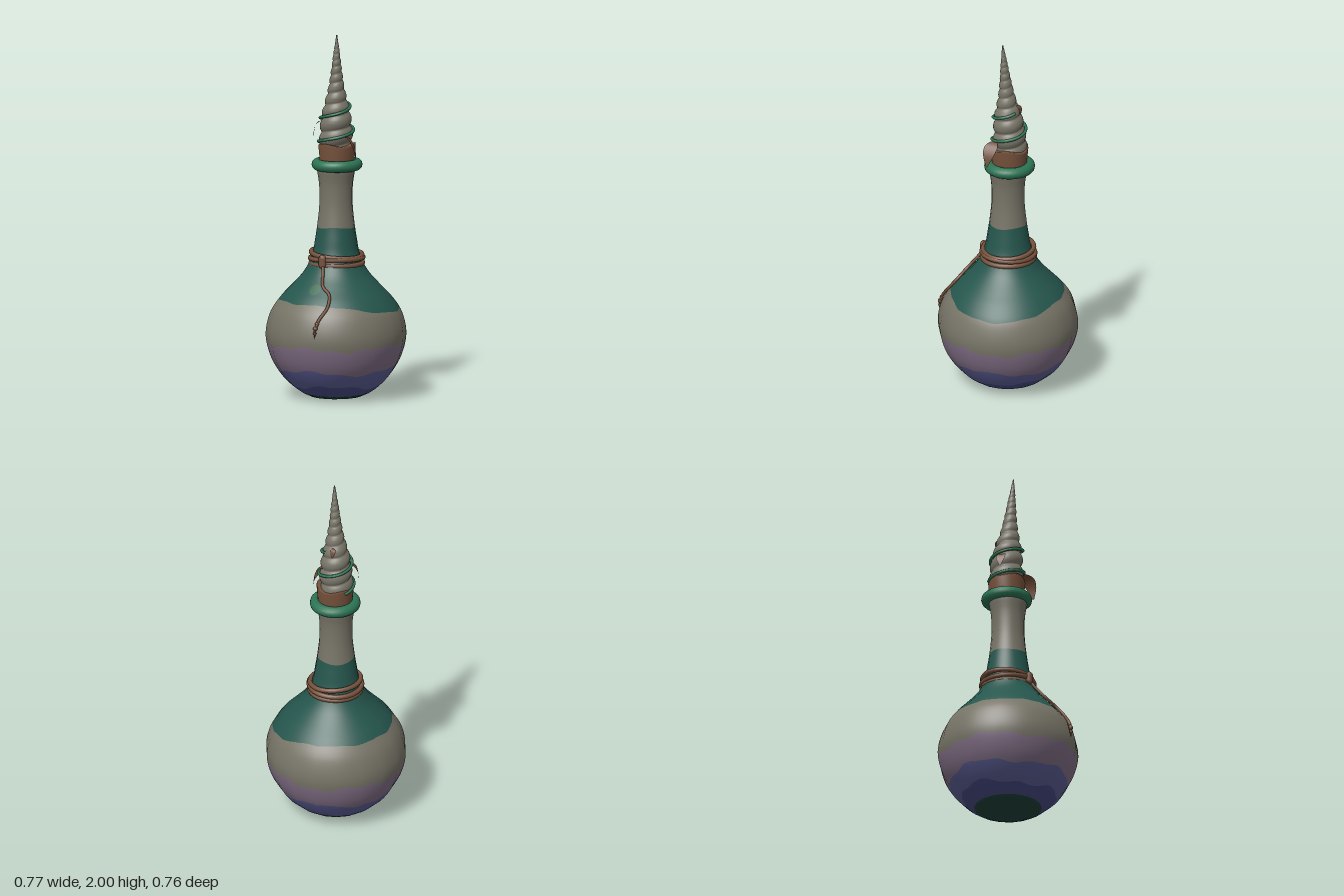
import * as THREE from 'three';
import { mergeVertices } from 'three/addons/utils/BufferGeometryUtils.js';

const mat = (name, color, double) => {
  const m = new THREE.MeshStandardMaterial({ color });
  m.name = name;
  if (double) m.side = THREE.DoubleSide;
  return m;
};

// Surface from a rule: fn(u, v) gives a point, u runs to the right and v runs up
function grid(nu, nv, fn, normalFn) {
  const pos = [], nor = [], idx = [];
  for (let j = 0; j <= nv; j++) for (let i = 0; i <= nu; i++) {
    pos.push(...fn(i / nu, j / nv));
    if (normalFn) nor.push(...normalFn(i / nu, j / nv));
    if (i < nu && j < nv) {
      const a = j * (nu + 1) + i, d = a + nu + 1;
      idx.push(a, a + 1, d, a + 1, d + 1, d);
    }
  }
  let g = new THREE.BufferGeometry();
  g.setAttribute('position', new THREE.Float32BufferAttribute(pos, 3));
  g.setIndex(idx);
  if (normalFn) g.setAttribute('normal', new THREE.Float32BufferAttribute(nor, 3));
  else { g = mergeVertices(g, 1e-5); g.computeVertexNormals(); }
  return g;
}

// Bottle outline as [radius, height]
const outline = new THREE.SplineCurve([
  [0.185, 0.025], [0.235, 0.06], [0.295, 0.12], [0.355, 0.22], [0.384, 0.345], [0.36, 0.465],
  [0.306, 0.55], [0.24, 0.62], [0.185, 0.68], [0.148, 0.74], [0.126, 0.8], [0.114, 0.87],
  [0.102, 0.95], [0.091, 1.06], [0.092, 1.17], [0.104, 1.25], [0.106, 1.29],
].map(([r, y]) => new THREE.Vector2(r, y))).getPoints(240);

function radiusAt(y) {
  let i = 1;
  while (i < outline.length - 1 && outline[i].y < y) i++;
  const a = outline[i - 1], b = outline[i];
  return THREE.MathUtils.clamp(THREE.MathUtils.mapLinear(y, a.y, b.y, a.x, b.x), 0.08, 0.39);
}

const SIDES = 18, STEP = Math.PI * 2 / SIDES, PHASE = 0.118;

// One coloured zone of the 18-sided bottle between two edges that vary with angle
function band(low, high, rows, from = PHASE, to = PHASE + Math.PI * 2, lift = 0, cols = 144) {
  const at = (u, v) => {
    const t = from + (to - from) * u;
    return [t, THREE.MathUtils.lerp(low(t), high(t), v)];
  };
  return grid(cols, rows, (u, v) => {
    const [t, y] = at(u, v);
    const local = ((t - PHASE) % STEP + STEP) % STEP - STEP / 2;
    const r = radiusAt(y) * Math.cos(STEP / 2) / Math.cos(local) + lift;
    return [r * Math.sin(t), y, r * Math.cos(t)];
  }, (u, v) => {
    const [t, y] = at(u, v);
    const slope = (radiusAt(y + 0.012) - radiusAt(y - 0.012)) / 0.024;
    return new THREE.Vector3(Math.sin(t), -slope, Math.cos(t)).normalize().toArray();
  });
}

// Curved leaf tapering at both ends
function leaf(points, width) {
  const path = new THREE.CatmullRomCurve3(points.map(p => new THREE.Vector3(...p)));
  const w = new THREE.Vector3(...width);
  return grid(4, 10, (u, v) => {
    const s = (u - 0.5) * (0.1 + 0.9 * Math.sin(Math.PI * Math.pow(v, 0.85)));
    return path.getPoint(v).addScaledVector(w, s).toArray();
  });
}

const tube = (points, radius, n = 48) => new THREE.TubeGeometry(
  new THREE.CatmullRomCurve3(points.map(p => new THREE.Vector3(...p))), n, radius, 8);

export function createModel() {
  const group = new THREE.Group();
  const glass = mat('grey glass and shell', 0x777467);
  const teal = mat('teal glaze', 0x25564d);
  const purple = mat('purple glaze', 0x7f6d84);
  const blue = mat('blue glaze', 0x5a5c92);
  const indigo = mat('indigo glaze', 0x454880);
  const dark = mat('dark green base', 0x1f4038);
  const green = mat('green rim and vine', 0x2c7454);
  const patchGreen = mat('green patch', 0x33664a);
  const brown = mat('brown cork and rope', 0x76513c);
  const leafBrown = mat('dry leaf', 0x6e4a36, true);

  const add = (name, geometry, material, x = 0, y = 0, z = 0) => {
    const m = new THREE.Mesh(geometry, material);
    m.name = name;
    m.position.set(x, y, z);
    group.add(m);
    return m;
  };

  // Glazed bottle, zone by zone from the base up
  const e0 = () => 0.025;
  const e1 = t => 0.08 + 0.012 * Math.sin(3 * t) + 0.006 * Math.sin(8 * t);
  const e2 = t => 0.17 + 0.012 * Math.sin(4 * t + 1) + 0.005 * Math.sin(11 * t);
  const e3 = t => 0.308 + 0.01 * Math.sin(5 * t + 1) + 0.007 * Math.sin(14 * t);
  const e4 = t => 0.543 - 0.055 * Math.pow(Math.max(0, Math.cos(t - 1.85)), 2) + 0.003 * Math.sin(9 * t);
  const e5 = t => 0.94 + 0.004 * Math.sin(3 * t);
  const e6 = () => 1.285;
  add('bottleBase', new THREE.LatheGeometry(
    [[0, 0], [0.14, 0.005], [0.185, 0.025]].map(p => new THREE.Vector2(...p)), SIDES, PHASE), dark);
  add('bottleLowest', band(e0, e1, 4), indigo);
  add('bottleLower', band(e1, e2, 5), blue);
  add('bottlePurple', band(e2, e3, 6), purple);
  add('bottleBelly', band(e3, e4, 10), glass);
  add('bottleShoulder', band(e4, e5, 18), teal);
  add('bottleNeck', band(e5, e6, 12), glass);

  // Small painted patch on the front shoulder
  const arch = t => Math.sqrt(Math.max(0, 1 - Math.pow((t - 0.1) / 0.14, 2)));
  add('shoulderPatch', band(t => 0.622 - 0.027 * arch(t), t => 0.622 + 0.025 * arch(t),
    4, -0.04, 0.24, 0.004, 12), patchGreen);

  // Rim and cork
  const rim = add('rim', new THREE.TorusGeometry(0.108, 0.031, 12, 36), green, 0, 1.28, -0.01);
  rim.rotation.x = Math.PI / 2;
  add('cork', grid(36, 4, (u, v) => {
    const t = u * Math.PI * 2;
    const r = [0.093, 0.097, 0.102, 0.1, 0][Math.round(v * 4)];
    const y = [1.28, 1.33, 1.385, 1.395, 1.385][Math.round(v * 4)];
    const wave = v > 0.4 && v < 0.9 ? 0.008 * Math.sin(3 * t + 2) : 0;
    return [r * Math.sin(t), y + wave, r * Math.cos(t) - 0.01];
  }), brown);

  // Spiral shell stopper, leaning slightly to its tip
  const shellRadius = new THREE.SplineCurve([
    [1.38, 0.09], [1.44, 0.094], [1.52, 0.086], [1.58, 0.077], [1.65, 0.059], [1.71, 0.045],
    [1.8, 0.031], [1.9, 0.018], [2, 0.003],
  ].map(p => new THREE.Vector2(...p))).getPoints(160);
  const coneRadius = y => shellRadius.find(p => p.x >= y - 1e-6)?.y ?? 0.003;
  const lean = y => [-0.008 + 0.028 * (y - 1.38) / 0.62, -0.012 + 0.034 * (y - 1.38) / 0.62];
  add('spiralShell', grid(32, 150, (u, v) => {
    const y = 1.38 + 0.62 * v, t = u * Math.PI * 2, [cx, cz] = lean(y);
    const turn = Math.log(1 - (y - 1.38) / 0.75) / Math.log(0.88);
    const bump = Math.pow(Math.abs(Math.sin(Math.PI * (turn - u))), 0.7);
    const r = coneRadius(y) * (0.82 + 0.18 * bump);
    return [cx + r * Math.sin(t), y, cz + r * Math.cos(t)];
  }), glass);

  // Vine winding up the shell
  const vine = [];
  for (let i = 0; i <= 40; i++) {
    const k = i / 40, t = -2.2 + k * 11.2, y = 1.38 + 0.235 * k, [cx, cz] = lean(y);
    const r = coneRadius(y) + 0.004;
    vine.push([cx + r * Math.sin(t), y, cz + r * Math.cos(t)]);
  }
  add('vine', tube(vine, 0.0085, 140), green);

  // Dry leaves hanging from the vine
  add('leftLeaf', leaf([[0.078, 1.45, 0.035], [0.115, 1.43, 0.036], [0.145, 1.385, 0.038],
    [0.16, 1.32, 0.04]], [0.028, 0.008, 0.065]), leafBrown);
  add('rightLeaf', leaf([[-0.075, 1.52, 0.035], [-0.098, 1.505, 0.042], [-0.112, 1.47, 0.046],
    [-0.115, 1.43, 0.048]], [0.026, 0, 0.045]), leafBrown);
  add('backLeaf', leaf([[-0.01, 1.645, -0.05], [-0.012, 1.64, -0.063], [-0.013, 1.62, -0.072],
    [-0.012, 1.595, -0.074]], [0.034, 0, 0]), leafBrown);

  // Rope coils around the neck
  [[0.738, 0.142, 0.01, 0], [0.766, 0.145, -0.02, 0.03], [0.79, 0.139, 0.02, -0.09]].forEach(([y, r, tx, ty], i) => {
    const coil = add('ropeCoil' + (i + 1), new THREE.TorusGeometry(r, 0.0135, 8, 28), brown, 0.002, y, -0.004);
    coil.rotation.set(Math.PI / 2 + tx, ty, 0);
  });

  // Knot and hanging cord with beads
  const knot = add('ropeKnot', new THREE.CapsuleGeometry(0.022, 0.034, 4, 10), brown, 0.012, 0.762, 0.15);
  knot.scale.z = 0.75;
  add('ropeTail', tube([[0.02, 0.735, 0.156], [0.035, 0.7, 0.178], [0.065, 0.64, 0.222], [0.12, 0.6, 0.243],
    [0.14, 0.54, 0.288], [0.12, 0.475, 0.342], [0.113, 0.435, 0.362]], 0.0085), brown);
  [[0.115, 0.455, 0.353, 0.011], [0.112, 0.43, 0.365, 0.013], [0.11, 0.404, 0.368, 0.009]].forEach(([x, y, z, r], i) =>
    add('cordBead' + (i + 1), new THREE.SphereGeometry(r, 10, 8), brown, x, y, z));
  const end = add('cordEnd', new THREE.ConeGeometry(0.008, 0.045, 8), brown, 0.11, 0.392, 0.368);
  end.rotation.x = Math.PI;

  return group;
}
